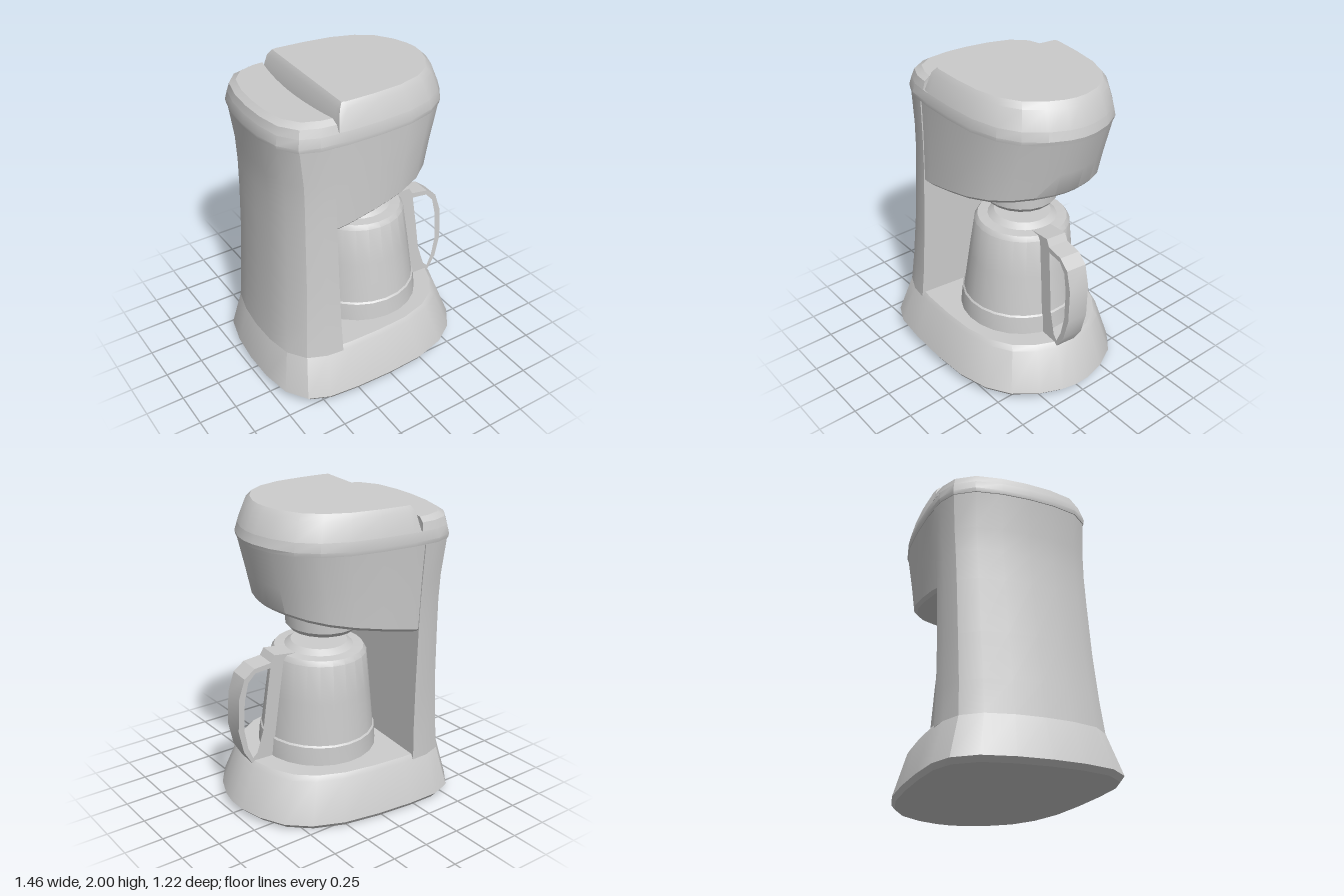
import * as THREE from 'three';
import { toCreasedNormals } from 'three/addons/utils/BufferGeometryUtils.js';

const material = new THREE.MeshStandardMaterial({ color: 0xcccccc });

// Half of the rounded D outline, from the back (-x) to the front (+x), in unit size
const HALF = [[-1, 0], [-0.985, 0.35], [-0.93, 0.68], [-0.8, 0.9], [-0.62, 0.985], [-0.34, 1], [0, 0.985],
  [0.33, 0.94], [0.6, 0.83], [0.79, 0.66], [0.92, 0.41], [0.985, 0.17], [1, 0]];
const OUTLINE = [...HALF, ...HALF.slice(1, -1).reverse().map(([u, w]) => [u, -w])];

// Profiles as rows of [y, back x, front x, half width]
const BASE = [[0, -0.7, 0.7, 0.585], [0.03, -0.73, 0.73, 0.605], [0.29, -0.67, 0.63, 0.52], [0.32, -0.655, 0.6, 0.5]];
const BODY = [[0.29, -0.67, 0.63, 0.52], [0.5, -0.65, 0.6, 0.505], [0.8, -0.625, 0.57, 0.495],
  [1.15, -0.605, 0.5, 0.49], [1.34, -0.6, 0.51, 0.49], [1.5, -0.605, 0.55, 0.495], [1.735, -0.635, 0.615, 0.505]];
const LID = [[1.73, -0.64, 0.618, 0.508], [1.755, -0.645, 0.625, 0.512], [1.81, -0.63, 0.61, 0.5],
  [1.925, -0.595, 0.565, 0.465], [1.96, -0.56, 0.53, 0.44]];

function profileAt(rows, y) {
  let i = 1;
  while (i < rows.length - 1 && y > rows[i][0]) i++;
  const a = rows[i - 1], b = rows[i];
  const t = THREE.MathUtils.clamp((y - a[0]) / (b[0] - a[0]), 0, 1);
  return a.map((v, k) => v + (b[k] - v) * t);
}

// One horizontal outline, cut at x = lo and x = hi; bow hollows the hi cut, slope lets y depend on x
function ring(rows, y, { lo = -9, hi = 9, bow = 0, inset = 0, slope } = {}) {
  const [, back, front] = profileAt(rows, y);
  const c = (back + front) / 2, h = (front - back) / 2 - inset;
  return OUTLINE.map(([u, w]) => {
    const x = THREE.MathUtils.clamp(c + u * h, lo, hi - bow * (1 - w * w));
    const py = slope ? slope(x) : y;
    return [x, py, w * (profileAt(rows, py)[3] - inset)];
  });
}

// Closed skin over a stack of outlines
function loft(rings) {
  const n = OUTLINE.length, pos = [], index = [];
  rings.forEach((r) => r.forEach((p) => pos.push(...p)));
  const centre = (r) => [0, 1, 2].map((k) => r.reduce((s, p) => s + p[k], 0) / n);
  const bottom = rings.length * n, top = bottom + 1, last = (rings.length - 1) * n;
  pos.push(...centre(rings[0]), ...centre(rings[rings.length - 1]));
  for (let i = 0; i < n; i++) {
    const j = (i + 1) % n;
    for (let r = 0; r < last; r += n) index.push(r + i, r + j, r + n + j, r + i, r + n + j, r + n + i);
    index.push(bottom, j, i, top, last + i, last + j);
  }
  const g = new THREE.BufferGeometry();
  g.setAttribute('position', new THREE.Float32BufferAttribute(pos, 3));
  g.setIndex(index);
  return g;
}

function lathe(points, segments) {
  return new THREE.LatheGeometry(points.map(([r, y]) => new THREE.Vector2(r, y)), segments);
}

export function createModel() {
  const machine = new THREE.Group();
  const add = (name, geometry, x = 0, z = 0) => {
    const mesh = new THREE.Mesh(toCreasedNormals(geometry, 0.5), material);
    mesh.name = name;
    mesh.position.set(x, 0, z);
    machine.add(mesh);
  };
  const WALL = -0.31; // front face of the rear column

  // Flared foot and rear column
  add('base', loft(BASE.map(([y]) => ring(BASE, y))));
  add('column', loft(BODY.map(([y]) => ring(BODY, y, { hi: WALL }))));

  // Overhanging head with a sloping underside
  const under = (x) => 1.165 + 0.205 * (x - WALL);
  add('head', loft([
    ring(BODY, 1.3, { lo: WALL, inset: 0.02, slope: under }),
    ring(BODY, 1.34, { lo: WALL, slope: (x) => under(x) + 0.02 }),
    ring(BODY, 1.5, { lo: WALL }),
    ring(BODY, 1.735, { lo: WALL }),
  ]));

  // Lid: rim, low tank cover and raised front cover with a bowed groove between
  add('lidRim', loft([1.73, 1.755, 1.81].map((y) => ring(LID, y))));
  add('tankCover', loft([
    ring(LID, 1.81, { hi: -0.285, bow: 0.02 }),
    ring(LID, 1.86, { hi: -0.29, bow: 0.04 }),
    ring(LID, 1.885, { hi: -0.295, bow: 0.045, inset: 0.03 }),
  ]));
  add('frontCover', loft([
    ring(LID, 1.81, { lo: -0.28 }),
    ring(LID, 1.925, { lo: -0.255 }),
    ring(LID, 1.96, { lo: -0.23 }),
  ]));

  // Brew outlet under the head
  add('outlet', lathe([[0, 1.115], [0.21, 1.115], [0.235, 1.145], [0.24, 1.36], [0, 1.36]], 20), 0.065, 0.015);

  // Carafe with stepped foot band and small lid
  add('carafe', lathe([[0, 0.31], [0.385, 0.31], [0.375, 0.44], [0.365, 0.45], [0.335, 0.72], [0.305, 0.965],
    [0.285, 0.995], [0.22, 1.0], [0.18, 1.03], [0, 1.03]], 24), 0.09, 0.01);

  // Handle: bracket along the carafe wall and an open loop
  const toPoints = (list) => list.map(([x, y]) => new THREE.Vector2(x, y));
  const shape = new THREE.Shape(toPoints([[0.3, 1.0], [0.45, 1.015], [0.475, 0.97], [0.59, 0.955], [0.66, 0.9],
    [0.7, 0.77], [0.705, 0.55], [0.67, 0.4], [0.61, 0.3], [0.4, 0.3]]));
  shape.holes.push(new THREE.Path(toPoints([[0.48, 0.935], [0.585, 0.925], [0.635, 0.87], [0.66, 0.75],
    [0.665, 0.55], [0.64, 0.42], [0.605, 0.34], [0.575, 0.37], [0.53, 0.52], [0.505, 0.74]])));
  const handle = new THREE.ExtrudeGeometry(shape, { depth: 0.14, bevelEnabled: false });
  add('handle', handle.translate(0, 0, -0.07), 0, 0.015);

  // The whole machine leans back and turns slightly
  machine.name = 'coffeeMaker';
  machine.rotation.set(-0.04, -0.06, 0);
  machine.position.y = 0.024;
  const model = new THREE.Group();
  model.add(machine);
  return model;
}
